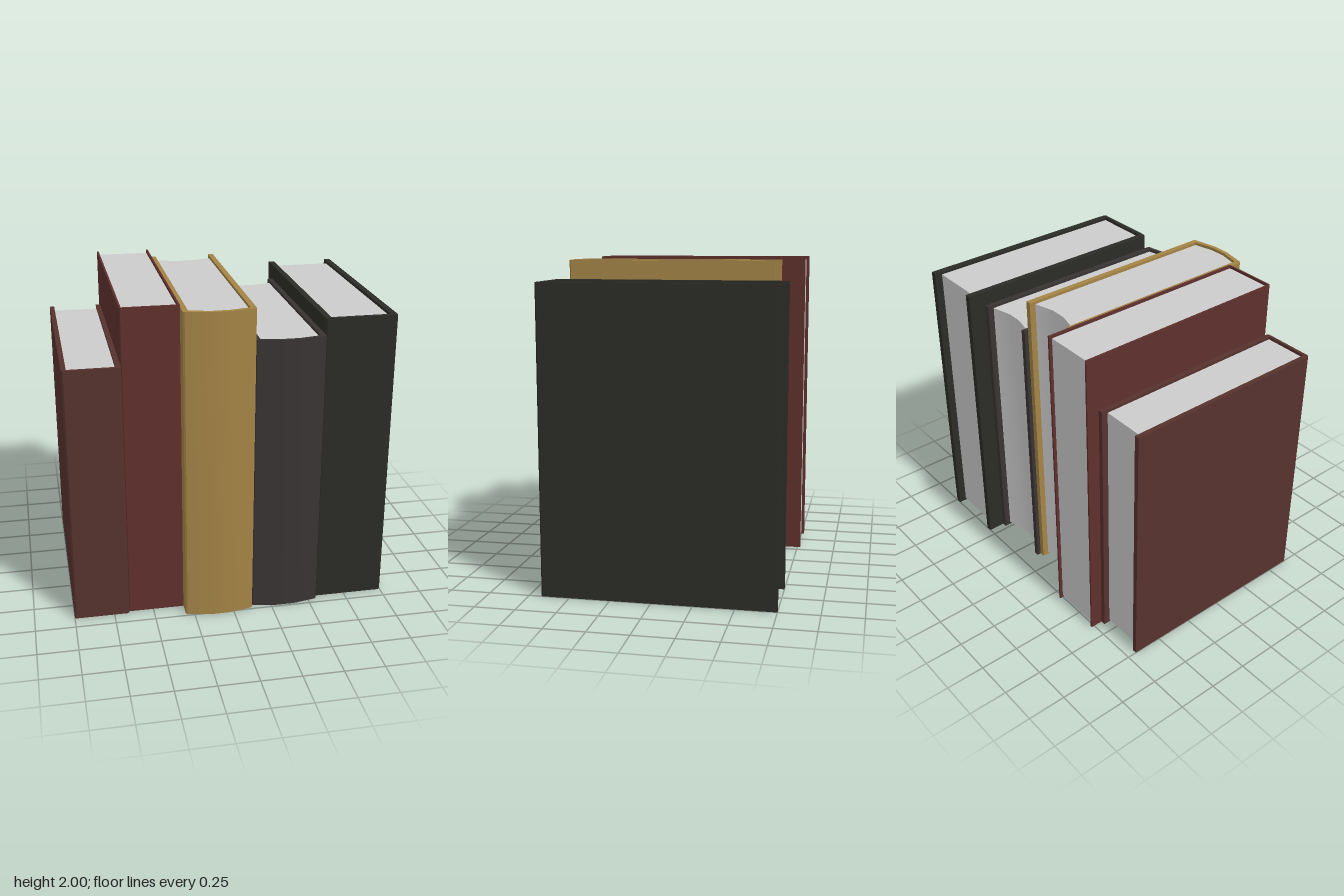
import * as THREE from 'three';
import { toCreasedNormals } from 'three/addons/utils/BufferGeometryUtils.js';

// x0, x1: sides; h: height; t: board thickness; s: spine thickness;
// back, front: cover extent in z; pageBack: page edge in z; bulge: rounding of the spine
const BOOKS = [
  { name: 'brownBook', x0: -1, x1: -0.655, h: 1.65, t: 0.03, s: 0.02, back: -0.69, front: 0.655, pageBack: -0.65, bulge: 0, color: 0x56322d },
  { name: 'redBook', x0: -0.655, x1: -0.305, h: 2, t: 0.012, s: 0.01, back: -0.77, front: 0.635, pageBack: -0.75, bulge: 0, color: 0x5f302d },
  { name: 'ochreBook', x0: -0.305, x1: 0.125, h: 1.985, t: 0.034, s: 0.025, back: -0.615, front: 0.735, pageBack: -0.575, bulge: 0.03, color: 0xa48446 },
  { name: 'greyBook', x0: 0.125, x1: 0.555, h: 1.785, t: 0.032, s: 0.022, back: -0.64, front: 0.708, pageBack: -0.6, bulge: 0.028, color: 0x393434 },
  { name: 'blackBook', x0: 0.555, x1: 1, h: 1.88, t: 0.039, s: 0.028, back: -0.75, front: 0.675, pageBack: -0.7, bulge: 0, color: 0x2b2b27 },
];
const RECESS = 0.018;

// Extrude a plan outline of [x, z] points upwards from y0 to y1
function prism(points, y0, y1) {
  const shape = new THREE.Shape(points.map(([x, z]) => new THREE.Vector2(x, -z)));
  const geo = new THREE.ExtrudeGeometry(shape, { depth: y1 - y0, bevelEnabled: false });
  geo.rotateX(-Math.PI / 2).translate(0, y0, 0);
  return toCreasedNormals(geo, 0.5);
}

// Line from xa to xb at depth z, bulging towards +z with a flat middle
function bow(xa, xb, z, bulge) {
  if (!bulge) return [[xa, z], [xb, z]];
  const at = (f) => xa + (xb - xa) * f;
  return [[xa, z], [at(0.36), z + bulge], [at(0.64), z + bulge], [xb, z]];
}

function makeBook({ name, x0, x1, h, t, s, back, front, pageBack, bulge, color }) {
  const book = new THREE.Group();
  book.name = name;
  const c = Math.min(0.01, t * 0.5);
  const a = x0 + t, b = x1 - t;

  // Cover: two boards joined by the spine, with clipped spine corners
  const cover = new THREE.Mesh(
    prism([
      [x0, back], [x0, front - c],
      ...bow(x0 + c, x1 - c, front, bulge),
      [x1, front - c], [x1, back], [b, back],
      ...bow(a, b, front - s, bulge).reverse(),
      [a, back],
    ], 0, h),
    new THREE.MeshStandardMaterial({ color }),
  );
  cover.name = 'cover';

  // Page block: set in slightly, hollow at the back when the spine is rounded
  const pages = new THREE.Mesh(
    prism([
      ...bow(a, b, front - s, bulge),
      ...bow(a, b, pageBack, bulge * 1.15).reverse(),
    ], RECESS, h - RECESS),
    new THREE.MeshStandardMaterial({ color: 0xcccccc }),
  );
  pages.name = 'pages';

  book.add(cover, pages);
  return book;
}

export function createModel() {
  const model = new THREE.Group();
  model.name = 'rowOfBooks';
  for (const spec of BOOKS) model.add(makeBook(spec));
  return model;
}
